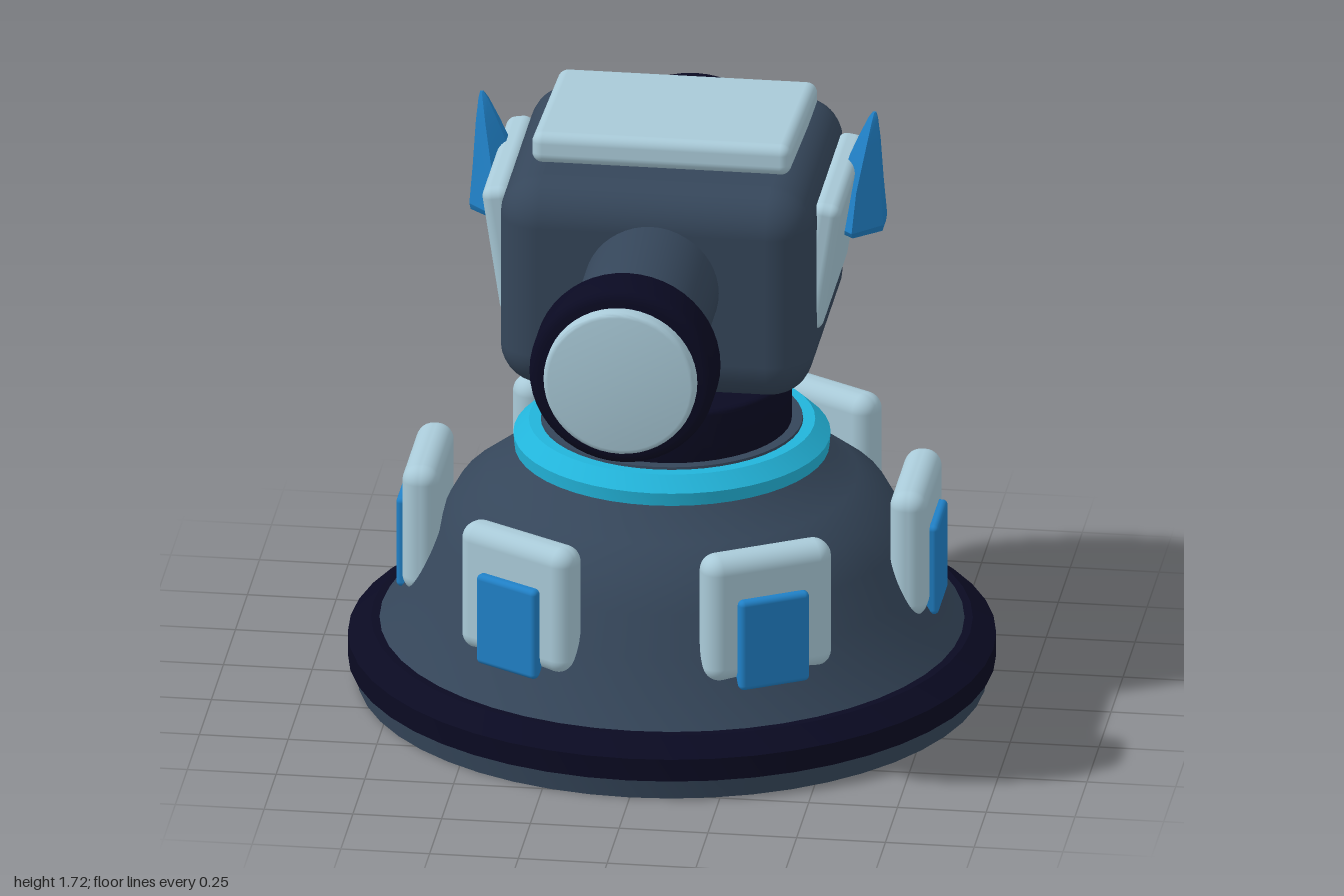
import * as THREE from 'three';
import { toCreasedNormals } from 'three/addons/utils/BufferGeometryUtils.js';
import { RoundedBoxGeometry } from 'three/addons/geometries/RoundedBoxGeometry.js';

const mat = (name, color) => {
  const m = new THREE.MeshStandardMaterial({ color });
  m.name = name;
  return m;
};

export function createModel() {
  const slate = mat('slate', 0x35465a);
  const navy = mat('navy', 0x0a0a22);
  const pale = mat('paleBlue', 0xa9cad8);
  const blue = mat('blue', 0x2080c6);
  const cyan = mat('cyan', 0x22b4da);

  const model = new THREE.Group();
  model.name = 'turret';

  const add = (parent, name, geometry, material, x = 0, y = 0, z = 0) => {
    const mesh = new THREE.Mesh(geometry, material);
    mesh.name = name;
    mesh.position.set(x, y, z);
    parent.add(mesh);
    return mesh;
  };
  const lathe = (points, crease = 0.5) => toCreasedNormals(
    new THREE.LatheGeometry(points.map(([r, y]) => new THREE.Vector2(r, y)), 48), crease);
  const box = (w, h, d, r) => new RoundedBoxGeometry(w, h, d, 4, r);

  // Disc with rounded rims, running from 0 to h along its axis
  const disc = (r, h, b) => {
    const pts = [[0, 0]];
    for (let i = 0; i <= 4; i++) {
      const a = (i / 4) * Math.PI / 2;
      pts.push([r - b + b * Math.sin(a), b - b * Math.cos(a)]);
    }
    for (let i = 0; i <= 4; i++) {
      const a = (i / 4) * Math.PI / 2;
      pts.push([r - b + b * Math.cos(a), h - b + b * Math.sin(a)]);
    }
    pts.push([0, h]);
    return lathe(pts);
  };

  // Base: foot, rim, dome, glowing ring and neck
  const base = new THREE.Group();
  base.name = 'base';
  base.position.z = -0.1;
  model.add(base);
  add(base, 'foot', lathe([[0, 0], [0.88, 0], [0.89, 0.07], [0, 0.07]]), slate);
  add(base, 'rim', lathe([[0.8, 0.062], [0.905, 0.062], [0.905, 0.128], [0.84, 0.175], [0.78, 0.175]]), navy);
  add(base, 'dome', lathe([[0.82, 0.17], [0.765, 0.25], [0.71, 0.35], [0.655, 0.46],
    [0.605, 0.55], [0.52, 0.615], [0.42, 0.69], [0.37, 0.76], [0.365, 0.785], [0, 0.785]], 0.7), slate);
  add(base, 'glowRing', lathe([[0.36, 0.7], [0.44, 0.7], [0.443, 0.738], [0.4, 0.778], [0.365, 0.778]]), cyan);
  add(base, 'neck', disc(0.335, 0.185, 0.015), navy, 0, 0.75, 0);

  // Six armour pads with blue inserts around the dome
  for (let i = 0; i < 6; i++) {
    const pad = new THREE.Group();
    pad.name = 'armourPad' + (i + 1);
    pad.rotation.y = i * Math.PI / 3;
    base.add(pad);
    add(pad, 'padPlate', box(0.105, 0.38, 0.385, 0.048), pale, 0.687, 0.47, 0);
    add(pad, 'padInsert', box(0.1, 0.27, 0.21, 0.015), blue, 0.714, 0.4, 0);
  }

  // Head with a tilted roof plate
  const head = new THREE.Group();
  head.name = 'head';
  model.add(head);
  add(head, 'headShell', box(0.88, 0.625, 0.85, 0.12), slate, 0, 1.322, -0.095);
  add(head, 'roofPlate', box(0.73, 0.09, 0.59, 0.03), pale, 0, 1.654, -0.155).rotation.x = -0.075;

  // Barrel, muzzle collar, lens and rear cap along z
  const along = (name, geometry, material, y, z) =>
    add(head, name, geometry.rotateX(Math.PI / 2), material, 0, y, z);
  along('barrel', disc(0.19, 0.6, 0.01), slate, 1.35, 0.25);
  along('muzzleCollar', disc(0.262, 0.165, 0.03), navy, 1.347, 0.795);
  along('lens', disc(0.215, 0.1, 0.015), pale, 1.347, 0.9);
  along('rearCap', disc(0.275, 0.14, 0.03), navy, 1.345, -0.61);

  // Faceted ear: stacked hexagons [y, inner x, outer x, half depth]
  const earGeometry = () => {
    const levels = [[1.34, 0.43, 0.58, 0.1], [1.36, 0.425, 0.583, 0.118], [1.47, 0.45, 0.575, 0.085],
      [1.6, 0.505, 0.568, 0.045], [1.665, 0.535, 0.562, 0.018], [1.685, 0.548, 0.558, 0.004]];
    const rings = levels.map(([y, x0, x1, d]) => {
      const mid = (x0 + x1) / 2;
      return [[x1, d * 0.35], [x1, -d * 0.35], [mid, -d], [x0, -d * 0.35], [x0, d * 0.35], [mid, d]]
        .map(([x, z]) => [x, y, z]);
    });
    const pos = [];
    for (let l = 0; l < rings.length - 1; l++) {
      for (let i = 0; i < 6; i++) {
        const j = (i + 1) % 6;
        const [a, b, c, d] = [rings[l][i], rings[l][j], rings[l + 1][j], rings[l + 1][i]];
        pos.push(...a, ...b, ...c, ...a, ...c, ...d);
      }
    }
    const low = rings[0], top = rings[rings.length - 1];
    for (let i = 1; i < 5; i++) {
      pos.push(...low[0], ...low[i + 1], ...low[i]);
      pos.push(...top[0], ...top[i], ...top[i + 1]);
    }
    const g = new THREE.BufferGeometry();
    g.setAttribute('position', new THREE.Float32BufferAttribute(pos, 3));
    return toCreasedNormals(g, 0.4);
  };

  // Cheek plates and ears; the right side is the left turned and mirrored
  for (const side of [1, -1]) {
    const label = side > 0 ? 'left' : 'right';
    const cheek = add(head, label + 'CheekPlate', box(0.08, 0.385, 0.55, 0.03), pale, side * 0.441, 1.357, -0.135);
    cheek.rotation.z = -side * 0.15;
    const ear = add(head, label + 'Ear', earGeometry(), blue, 0, 0, -0.23);
    if (side < 0) ear.rotation.y = Math.PI;
  }

  return model;
}
